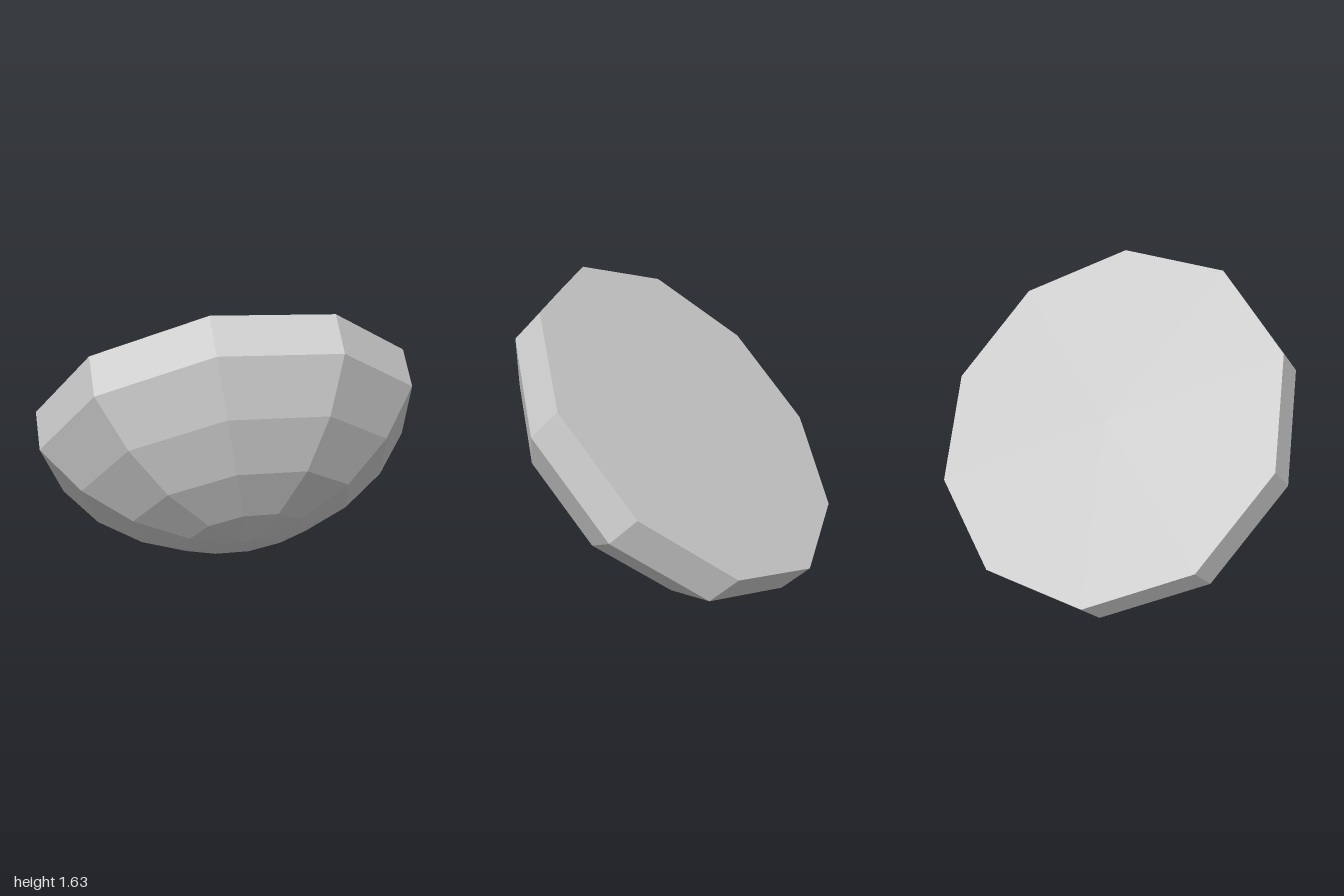
import * as THREE from 'three';

const SIDES = 10;
const RIM_RADIUS = 1.068;
const RIM_DEPTH = 0.226;
const CAP_HEIGHT = 0.6;
const CAP_RINGS = 4;

export function createModel() {
  const model = new THREE.Group();
  model.name = 'tiltedDome';
  const grey = new THREE.MeshStandardMaterial({ color: 0xcccccc, flatShading: true });
  grey.name = 'grey';

  const bowl = new THREE.Group();
  bowl.name = 'bowl';
  const addLathe = (name, points) => {
    const profile = points.map(([r, y]) => new THREE.Vector2(r, y));
    const mesh = new THREE.Mesh(new THREE.LatheGeometry(profile, SIDES), grey);
    mesh.name = name;
    bowl.add(mesh);
  };

  // Spherical cap in rings of equal angle, from the pole up to the rim
  const sphere = (RIM_RADIUS ** 2 + CAP_HEIGHT ** 2) / (2 * CAP_HEIGHT);
  const sweep = Math.asin(RIM_RADIUS / sphere);
  const cap = [];
  for (let i = 0; i <= CAP_RINGS; i++) {
    const a = (sweep * i) / CAP_RINGS;
    cap.push([sphere * Math.sin(a), -RIM_DEPTH - CAP_HEIGHT + sphere * (1 - Math.cos(a))]);
  }
  addLathe('roundedCap', cap);

  // Straight band around the edge, and the flat face that closes it
  addLathe('rimBand', [[RIM_RADIUS, -RIM_DEPTH], [RIM_RADIUS, 0]]);
  addLathe('flatFace', [[RIM_RADIUS, 0], [0, 0]]);

  // Tilt: the flat face looks up, back and towards -x
  const zAxis = new THREE.Vector3(0, 0.445, 0.895).normalize();
  const yAxis = new THREE.Vector3(-0.578, 0.729, -0.363);
  const xAxis = new THREE.Vector3().crossVectors(yAxis, zAxis).normalize();
  yAxis.crossVectors(zAxis, xAxis);
  bowl.quaternion.setFromRotationMatrix(new THREE.Matrix4().makeBasis(xAxis, yAxis, zAxis));
  bowl.position.set(-0.07, 0.925, -0.045);
  model.add(bowl);
  return model;
}
